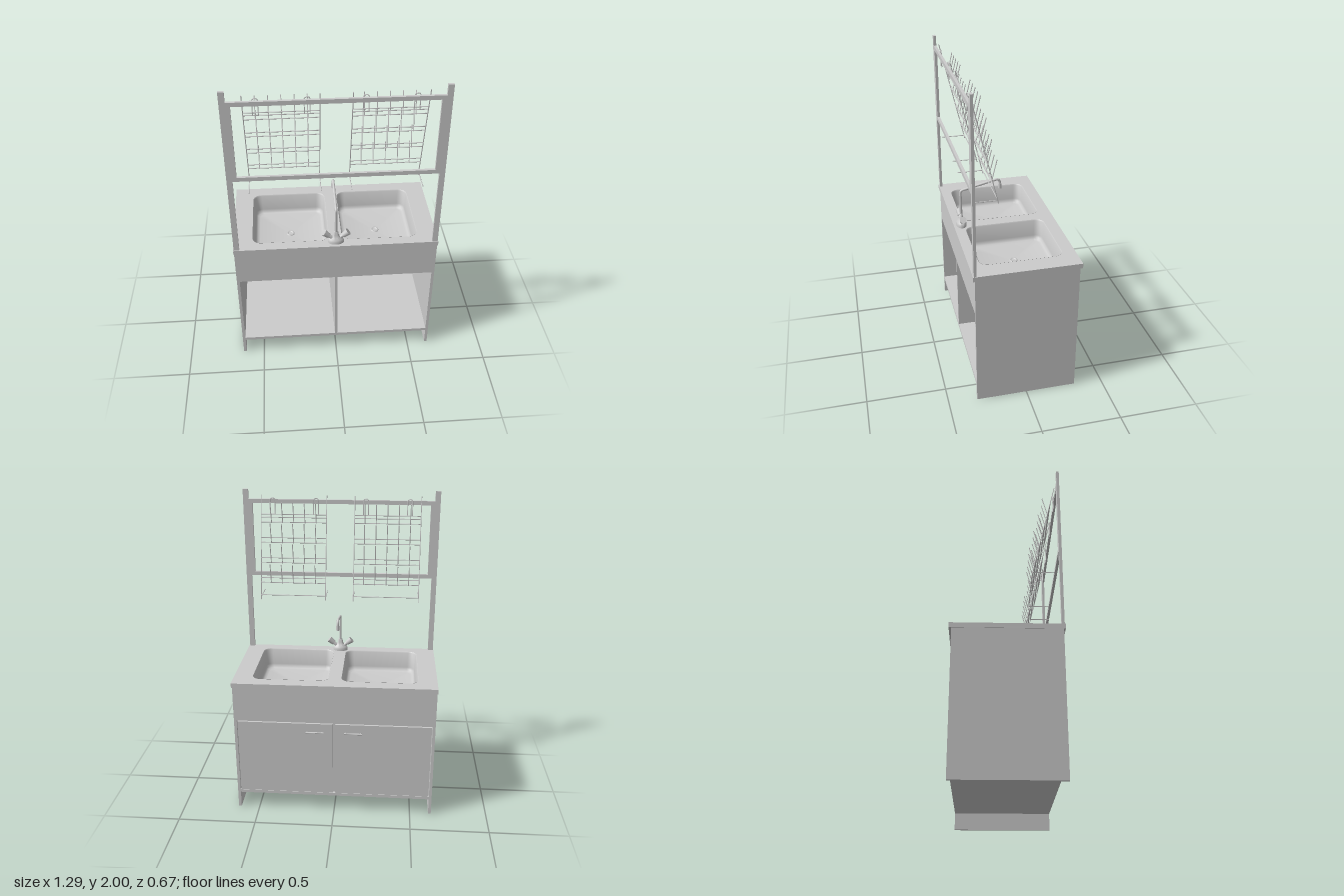
import * as THREE from 'three';
import { toCreasedNormals } from 'three/addons/utils/BufferGeometryUtils.js';

const mat = new THREE.MeshStandardMaterial({ color: 0xcccccc });
const sheet = new THREE.MeshStandardMaterial({ color: 0xcccccc, side: THREE.DoubleSide });
const V = (x, y, z) => new THREE.Vector3(x, y, z);

function add(parent, name, geometry, material = mat) {
  const mesh = new THREE.Mesh(geometry, material);
  mesh.name = name;
  parent.add(mesh);
  return mesh;
}

// Box given by its limits on each axis
function box(parent, name, x0, x1, y0, y1, z0, z1) {
  const mesh = add(parent, name, new THREE.BoxGeometry(x1 - x0, y1 - y0, z1 - z0));
  mesh.position.set((x0 + x1) / 2, (y0 + y1) / 2, (z0 + z1) / 2);
  return mesh;
}

// Straight round bar between two points
function rod(parent, name, a, b, r, r2 = r, sides = 6) {
  const mesh = add(parent, name, new THREE.CylinderGeometry(r2, r, a.distanceTo(b), sides));
  mesh.position.copy(a).add(b).multiplyScalar(0.5);
  mesh.quaternion.setFromUnitVectors(V(0, 1, 0), b.clone().sub(a).normalize());
  return mesh;
}

// Outline of a rounded rectangle as [x, z] pairs
function roundedRect(cx, cz, hx, hz, r, steps = 6) {
  const pts = [];
  for (let q = 0; q < 4; q++) {
    const sx = q === 0 || q === 3 ? 1 : -1, sz = q < 2 ? 1 : -1;
    for (let i = 0; i <= steps; i++) {
      const a = (q + i / steps) * Math.PI / 2;
      pts.push([cx + sx * (hx - r) + r * Math.cos(a), cz + sz * (hz - r) + r * Math.sin(a)]);
    }
  }
  return pts;
}

const BASIN = { x: 0.2825, z: 0.005, hx: 0.2425, hz: 0.26, r: 0.055, floor: 0.77 };

// Pressed basin lofted from shrinking rounded rectangles down to the floor
function basinGeometry() {
  const { z, hx, hz, r, floor } = BASIN;
  const levels = [[0, 0.911], [0.005, 0.904], [0.012, floor + 0.03],
    [0.016, floor + 0.014], [0.025, floor + 0.004], [0.04, floor]];
  const pos = [], idx = [];
  let n = 0;
  for (const [inset, y] of levels) {
    const ring = roundedRect(0, z, hx - inset, hz - inset, r - inset * 0.6);
    n = ring.length;
    for (const [px, pz] of ring) pos.push(px, y, pz);
  }
  pos.push(0, floor - 0.002, z);
  const last = (levels.length - 1) * n, centre = levels.length * n;
  for (let i = 0; i < n; i++) {
    const j = (i + 1) % n;
    for (let k = 0; k < last; k += n) {
      idx.push(k + i, k + n + j, k + n + i, k + i, k + j, k + n + j);
    }
    idx.push(last + i, last + j, centre);
  }
  const g = new THREE.BufferGeometry();
  g.setAttribute('position', new THREE.Float32BufferAttribute(pos, 3));
  g.setIndex(idx);
  return toCreasedNormals(g, 0.7);
}

function createCabinet() {
  const g = new THREE.Group();
  g.name = 'cabinet';
  for (const s of [-1, 1]) {
    box(g, 'sidePanel', s * 0.631 - 0.009, s * 0.631 + 0.009, 0, 0.88, -0.32, 0.32);
    box(g, 'door', s * 0.313 - 0.305, s * 0.313 + 0.305, 0.132, 0.638, -0.32, -0.303);
    // Bar handle with two short feet
    rod(g, 'doorHandle', V(s * 0.065, 0.58, -0.331), V(s * 0.18, 0.58, -0.331), 0.005, 0.005, 10);
    for (const x of [0.075, 0.17]) {
      rod(g, 'handleFoot', V(s * x, 0.58, -0.318), V(s * x, 0.58, -0.331), 0.004, 0.004, 8);
    }
  }
  box(g, 'bottomPanel', -0.622, 0.622, 0.11, 0.13, -0.32, 0.32);
  box(g, 'divider', -0.008, 0.008, 0.13, 0.645, -0.302, 0.32);
  box(g, 'doorSideApron', -0.622, 0.622, 0.645, 0.88, -0.32, -0.302);
  box(g, 'wallSideApron', -0.622, 0.622, 0.645, 0.88, 0.302, 0.32);
  return g;
}

function createSink() {
  const g = new THREE.Group();
  g.name = 'sink';
  // Worktop with two cut-outs
  const shape = new THREE.Shape([[-0.643, -0.335], [0.643, -0.335], [0.643, 0.33], [-0.643, 0.33]]
    .map(([x, z]) => new THREE.Vector2(x, -z)));
  for (const s of [-1, 1]) {
    const outline = roundedRect(s * BASIN.x, BASIN.z, BASIN.hx, BASIN.hz, BASIN.r);
    shape.holes.push(new THREE.Path(outline.map(([x, z]) => new THREE.Vector2(x, -z))));
  }
  const top = new THREE.ExtrudeGeometry(shape, { depth: 0.031, bevelEnabled: false });
  top.rotateX(-Math.PI / 2).translate(0, 0.879, 0);
  add(g, 'worktop', top);

  const bowl = basinGeometry();
  const drain = new THREE.LatheGeometry([[0, -0.004], [0.014, -0.004], [0.016, 0.003], [0.025, 0.003],
    [0.027, -0.004]].reverse().map(([x, y]) => new THREE.Vector2(x, y)), 24);
  for (const s of [-1, 1]) {
    add(g, 'basin', bowl, sheet).position.x = s * BASIN.x;
    add(g, 'drainRing', drain, sheet).position.set(s * BASIN.x, BASIN.floor + 0.001, 0);
    rod(g, 'drainPipe', V(s * BASIN.x, 0.638, 0), V(s * BASIN.x, 0.766, 0), 0.013, 0.013, 16);
  }
  return g;
}

function createFrame() {
  const g = new THREE.Group();
  g.name = 'rackFrame';
  for (const s of [-1, 1]) {
    box(g, 'post', s * 0.622 - 0.017, s * 0.622 + 0.017, 0.9, 2, 0.308, 0.325);
    box(g, 'stile', s * 0.592 - 0.013, s * 0.592 + 0.013, 1.45, 1.91, 0.308, 0.325);
  }
  box(g, 'topRail', -0.605, 0.605, 1.91, 1.936, 0.308, 0.325);
  box(g, 'bottomRail', -0.605, 0.605, 1.424, 1.45, 0.308, 0.325);
  return g;
}

// Wire draining rack, centred on x = 0
function createRack() {
  const g = new THREE.Group();
  g.name = 'dryingRack';
  const w = 0.213, r = 0.003;
  const slope = y => 0.305 - (1.965 - y) * 0.234;
  const cross = (name, y, z) => rod(g, name, V(-w, y, z), V(w, y, z), r);
  for (const s of [-1, 1]) {
    rod(g, 'sideWire', V(s * w, 1.305, slope(1.305)), V(s * w, 1.965, 0.305), r);
    rod(g, 'spacerWire', V(s * w, 1.325, 0.155), V(s * w, 1.325, 0.308), r);
    // Inverted U hook over the top rail
    const hook = new THREE.CurvePath();
    const hx = s * 0.142, hw = 0.016;
    hook.add(new THREE.LineCurve3(V(hx - hw, 1.84, 0.303), V(hx - hw, 1.93, 0.303)));
    hook.add(new THREE.QuadraticBezierCurve3(V(hx - hw, 1.93, 0.303), V(hx - hw, 1.946, 0.303), V(hx, 1.946, 0.303)));
    hook.add(new THREE.QuadraticBezierCurve3(V(hx, 1.946, 0.303), V(hx + hw, 1.946, 0.303), V(hx + hw, 1.93, 0.303)));
    hook.add(new THREE.LineCurve3(V(hx + hw, 1.93, 0.303), V(hx + hw, 1.84, 0.303)));
    add(g, 'hook', new THREE.TubeGeometry(hook, 32, r, 6));
  }
  cross('lowerWire', 1.335, slope(1.335));
  // Four rows of slanted pegs, each on a pair of cross wires
  for (let row = 0; row < 4; row++) {
    const y = 1.415 + row * 0.127, z = slope(y);
    cross('pegWire', y, z);
    cross('guardWire', y + 0.03, slope(y + 0.03));
    for (let i = -2; i <= 2; i++) {
      rod(g, 'peg', V(i * 0.073, y - 0.004, z), V(i * 0.073, y + 0.131, z - 0.034), r);
    }
  }
  cross('upperWire', 1.845, slope(1.845));
  return g;
}

function createTap() {
  const g = new THREE.Group();
  g.name = 'tap';
  const z = 0.28;
  const body = new THREE.LatheGeometry([[0, 0], [0.05, 0], [0.05, 0.014], [0.044, 0.026], [0.028, 0.038],
    [0.018, 0.055], [0.015, 0.075], [0.009, 0.085], [0, 0.086]].map(([x, y]) => new THREE.Vector2(x, y)), 24);
  body.scale(1, 1, 0.66);
  add(g, 'tapBody', toCreasedNormals(body, 0.7)).position.set(0, 0.91, z);
  for (const s of [-1, 1]) {
    rod(g, 'valveStem', V(s * 0.015, 0.935, z), V(s * 0.05, 0.963, z), 0.011, 0.011, 14);
    rod(g, 'valveKnob', V(s * 0.045, 0.959, z), V(s * 0.077, 0.985, z), 0.016, 0.022, 14);
  }
  // Swan neck: upright, rising arm, turned-down end
  const path = new THREE.CurvePath();
  const p = [V(0, 0.98, z), V(0, 1.14, z), V(0, 1.155, z), V(0, 1.159, z - 0.015),
    V(0, 1.21, 0.05), V(0, 1.216, 0.022), V(0, 1.18, 0.022)];
  path.add(new THREE.LineCurve3(p[0], p[1]));
  path.add(new THREE.QuadraticBezierCurve3(p[1], p[2], p[3]));
  path.add(new THREE.LineCurve3(p[3], p[4]));
  path.add(new THREE.QuadraticBezierCurve3(p[4], p[5], p[6]));
  add(g, 'spout', new THREE.TubeGeometry(path, 60, 0.008, 12));
  rod(g, 'nozzle', V(0, 1.148, 0.022), V(0, 1.18, 0.022), 0.012, 0.011, 16);
  return g;
}

export function createModel() {
  const model = new THREE.Group();
  model.name = 'kitchenSinkUnit';
  model.add(createCabinet(), createSink(), createFrame(), createTap());
  for (const s of [-1, 1]) {
    const rack = createRack();
    rack.position.x = s * 0.304;
    model.add(rack);
  }
  return model;
}
